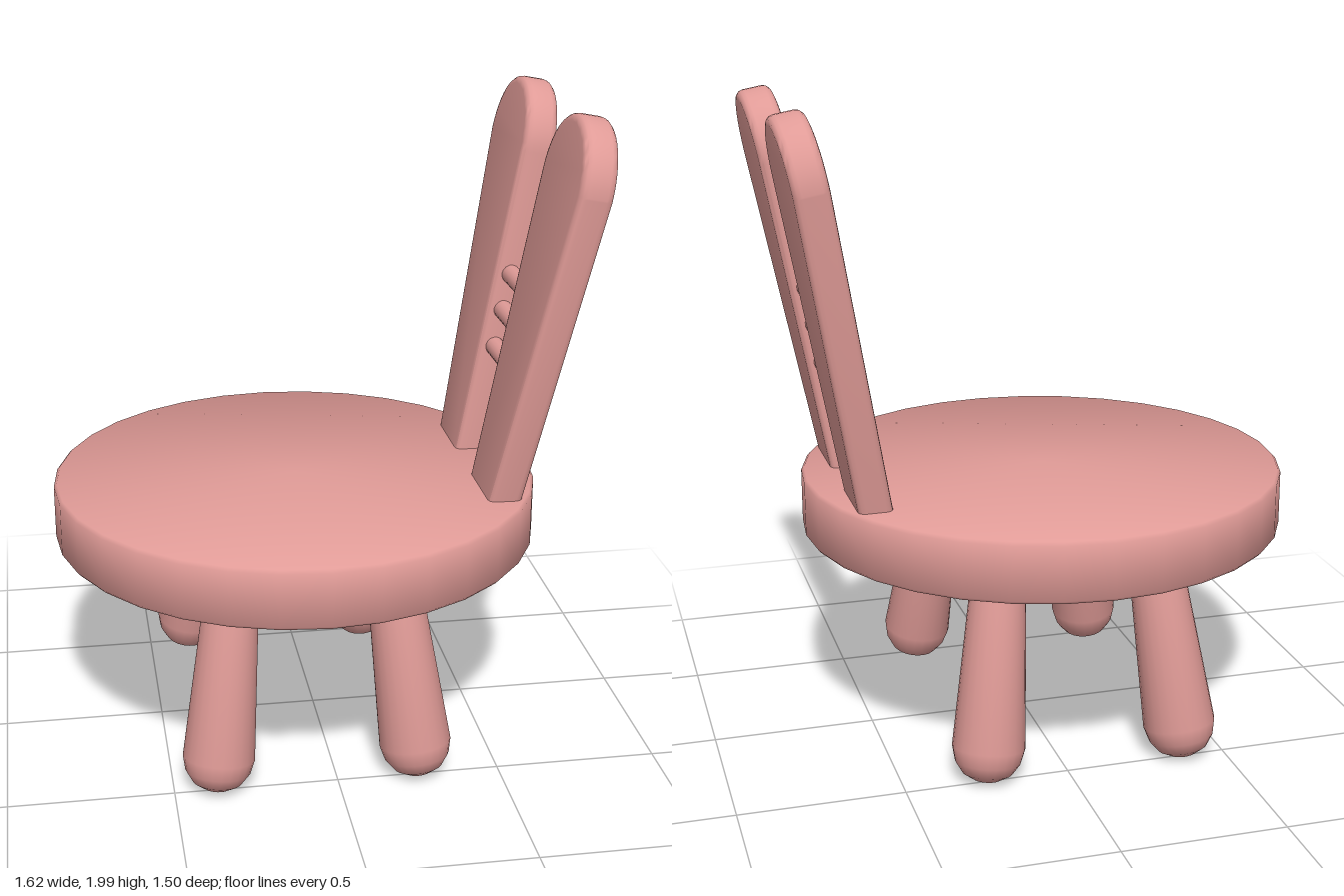
import * as THREE from 'three';
import { toCreasedNormals } from 'three/addons/utils/BufferGeometryUtils.js';

const material = new THREE.MeshStandardMaterial({ color: 0xe09b97 });
const SEAT_X = -0.06;

function part(name, geometry, parent) {
  const mesh = new THREE.Mesh(geometry, material);
  mesh.name = name;
  parent.add(mesh);
  return mesh;
}

function lathe(points, segments) {
  const profile = points.map(([r, y]) => new THREE.Vector2(r, y));
  return toCreasedNormals(new THREE.LatheGeometry(profile, segments), 0.9);
}

export function createModel() {
  const chair = new THREE.Group();
  chair.name = 'chair';

  // Round seat with a narrow softened rim
  const seat = part('seat', lathe([
    [0, 0.645], [0.743, 0.645], [0.752, 0.655], [0.752, 0.82], [0.743, 0.83], [0, 0.83],
  ], 32), chair);
  seat.position.x = SEAT_X;

  // Four splayed legs, thicker towards their rounded feet
  const legGeometry = lathe([
    [0, -0.105], [0.04, -0.1], [0.075, -0.08], [0.099, -0.045], [0.11, 0],
    [0.08, 0.545], [0.078, 0.59], [0, 0.59],
  ], 24);
  const up = new THREE.Vector3(0, 1, 0);
  for (const sx of [-1, 1]) {
    for (const sz of [-1, 1]) {
      const foot = new THREE.Vector3(SEAT_X + sx * 0.302, 0.11, sz * 0.483);
      const top = new THREE.Vector3(SEAT_X + sx * 0.242, 0.645, sz * 0.39);
      const leg = part('leg', legGeometry, chair);
      leg.position.copy(foot);
      leg.quaternion.setFromUnitVectors(up, top.sub(foot).normalize());
    }
  }

  // Leaning backrest: everything inside is upright until the group tilts
  const back = new THREE.Group();
  back.name = 'backrest';
  back.position.set(0.538, 0.83, 0);
  back.rotation.z = -0.188;
  chair.add(back);

  // Two ear-shaped slats, widening upwards to a round top
  const outline = new THREE.Shape();
  outline.moveTo(0.097, -0.06);
  outline.lineTo(0.34, -0.06);
  outline.lineTo(0.508, 0.975);
  outline.absarc(0.308, 0.98, 0.2, 0, Math.PI, false);
  outline.closePath();
  const bevel = 0.022;
  const thickness = 0.103;
  const slatGeometry = new THREE.ExtrudeGeometry(outline, {
    depth: thickness - 2 * bevel, curveSegments: 12,
    bevelEnabled: true, bevelSize: bevel, bevelThickness: bevel, bevelOffset: -bevel, bevelSegments: 3,
  });
  slatGeometry.translate(0, 0, bevel - thickness / 2);
  const slat = toCreasedNormals(slatGeometry, 0.7);
  part('leftSlat', slat, back).rotation.y = Math.PI / 2;
  part('rightSlat', slat, back).rotation.y = -Math.PI / 2;

  // Three thin rods joining the slats
  const rodGeometry = new THREE.CylinderGeometry(0.03, 0.03, 0.27, 16);
  rodGeometry.rotateX(Math.PI / 2);
  for (const height of [0.352, 0.474, 0.591]) {
    part('rod', rodGeometry, back).position.y = height;
  }

  return chair;
}
